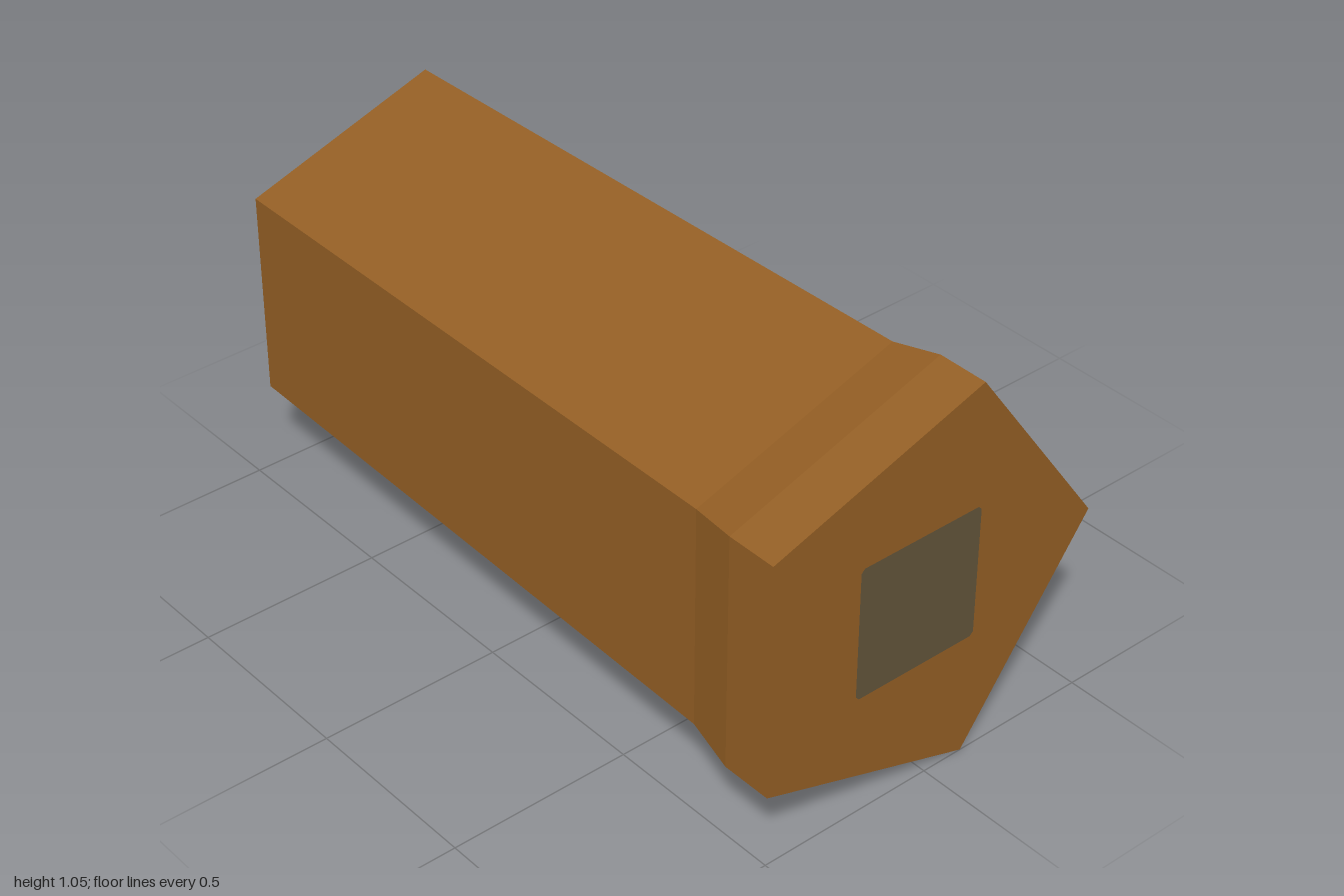
import * as THREE from 'three';

const CX = -0.053, CY = 0.53;

// Five-sided tube along z from [radius, z] pairs, with flat facets
function pentagonTube(profile) {
  const points = profile.map(([r, z]) => new THREE.Vector2(r, z));
  const lathe = new THREE.LatheGeometry(points, 5, Math.PI / 2);
  lathe.rotateX(Math.PI / 2);
  const geometry = lathe.toNonIndexed();
  geometry.computeVertexNormals();
  // the narrow end sits a touch higher than the collar
  const pos = geometry.attributes.position;
  for (let i = 0; i < pos.count; i++) {
    pos.setY(i, pos.getY(i) + 0.0025 * (1 - pos.getZ(i)));
  }
  return geometry.translate(CX, CY, 0);
}

export function createModel() {
  const brown = new THREE.MeshStandardMaterial({ color: 0x935e24 });
  brown.name = 'brown';
  const black = new THREE.MeshStandardMaterial({ color: 0x0f0f0f });
  black.name = 'black';
  const grey = new THREE.MeshStandardMaterial({ color: 0x62543a });
  grey.name = 'greyBrown';

  const group = new THREE.Group();
  const add = (name, geometry, material) => {
    const mesh = new THREE.Mesh(geometry, material);
    mesh.name = name;
    group.add(mesh);
    return mesh;
  };

  // Tapered shell with a flared collar and a closed front
  add('outerShell', pentagonTube([
    [0.485, -1], [0.519, 0.72], [0.5528, 0.86], [0.5528, 1], [0, 1],
  ]), brown);

  // Dark hollow, open at the back
  add('innerLining', pentagonTube([
    [0, 0.99], [0.548, 0.99], [0.548, 0.86], [0.515, 0.72], [0.485, -1],
  ]), black);

  // Square panel with clipped corners on the front
  const h = 0.185, c = 0.175;
  const panel = new THREE.Shape([
    [c, -h], [h, -c], [h, c], [c, h], [-c, h], [-h, c], [-h, -c], [-c, -h],
  ].map(([x, y]) => new THREE.Vector2(x, y)));
  add('frontPanel', new THREE.ShapeGeometry(panel), grey).position.set(CX, CY + 0.001, 1.002);

  return group;
}
